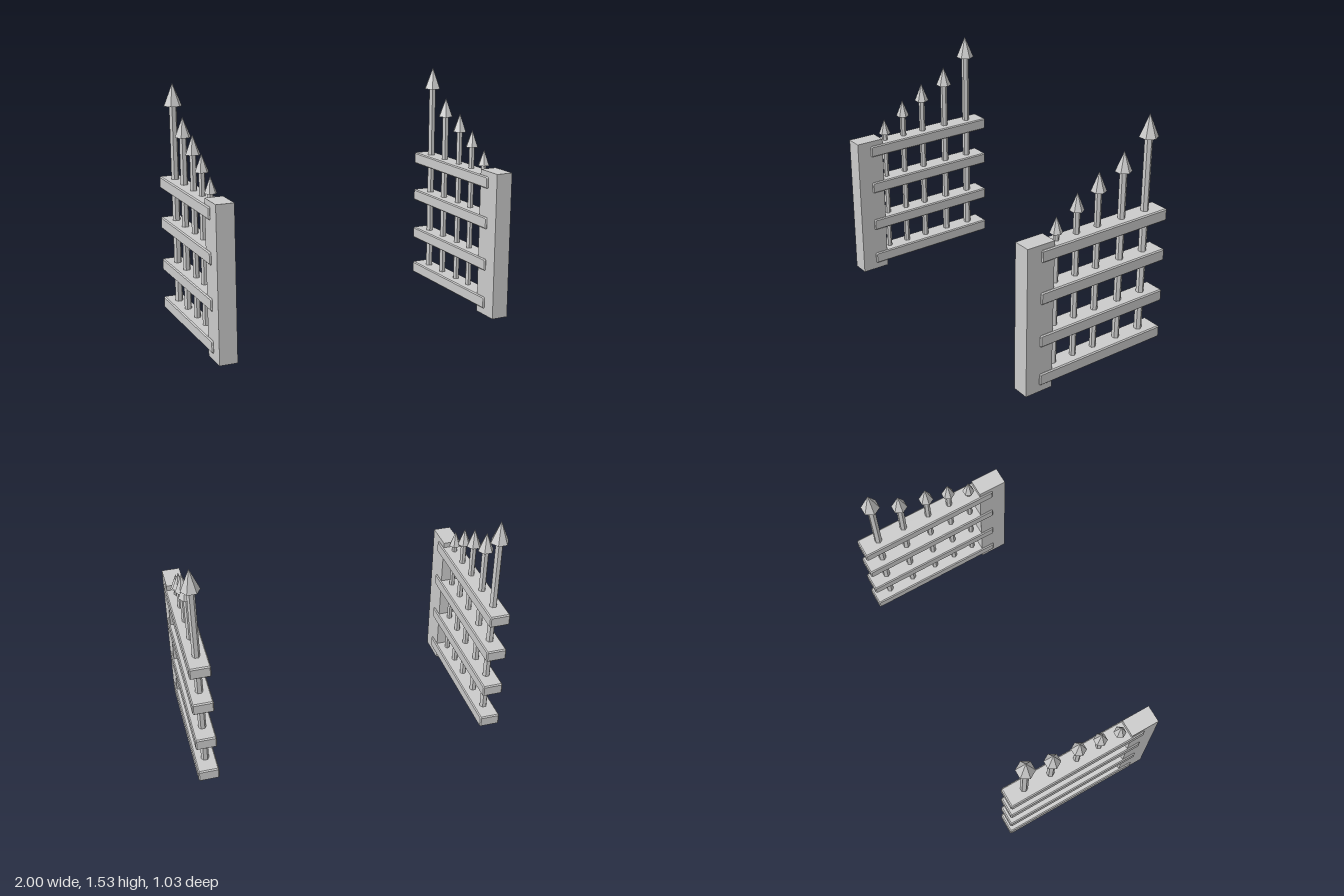
import * as THREE from 'three';

const material = new THREE.MeshStandardMaterial({ color: 0xcccccc, flatShading: true });

function addMesh(parent, name, geometry, x, y, z) {
  const mesh = new THREE.Mesh(geometry, material);
  mesh.name = name;
  mesh.position.set(x, y, z);
  parent.add(mesh);
  return mesh;
}

// Box with every edge chamfered by c, centred on the origin
function chamferedBox(w, h, d, c) {
  const a = d / 2 - c, b = h / 2 - c, k = c * 0.5;
  const shape = new THREE.Shape([
    [-a + k, -b], [a - k, -b], [a, -b + k], [a, b - k],
    [a - k, b], [-a + k, b], [-a, b - k], [-a, -b + k],
  ].map(([x, y]) => new THREE.Vector2(x, y)));
  const geometry = new THREE.ExtrudeGeometry(shape, {
    depth: w - 2 * c, bevelSize: c, bevelThickness: c, bevelSegments: 1,
  });
  return geometry.translate(0, 0, c - w / 2).rotateY(Math.PI / 2);
}

// Six-sided cone or shaft with corners pointing along x
function hexPrism(top, bottom, height) {
  return new THREE.CylinderGeometry(top, bottom, height, 6, 1, false, Math.PI / 6);
}

// [z, head base, tip, head radius, shaft radius]
const PIKES = [
  [0.275, 0.966, 1.067, 0.039, 0.018],
  [0.129, 1.063, 1.172, 0.043, 0.02],
  [-0.026, 1.14, 1.26, 0.047, 0.0205],
  [-0.208, 1.216, 1.34, 0.051, 0.023],
  [-0.39, 1.384, 1.527, 0.0585, 0.0245],
];
const RAIL_HEIGHTS = [0.081, 0.338, 0.616, 0.882];
const SHAFT_BOTTOM = 0.07;

function createGateLeaf(name, x) {
  const leaf = new THREE.Group();
  leaf.name = name;
  leaf.position.x = x;

  // Upright post at the front
  addMesh(leaf, 'post', new THREE.BoxGeometry(0.112, 0.955, 0.187), 0, 0.4775, 0.422);

  // Horizontal rails wrapping the post
  const rail = chamferedBox(0.131, 0.077, 0.932, 0.007);
  for (const y of RAIL_HEIGHTS) addMesh(leaf, 'rail', rail, 0, y, -0.046);

  // Pikes rising towards the back
  for (const [z, base, tip, headRadius, shaftRadius] of PIKES) {
    const length = base - SHAFT_BOTTOM + 0.01;
    addMesh(leaf, 'pikeShaft', hexPrism(shaftRadius, shaftRadius, length), 0, SHAFT_BOTTOM + length / 2, z);
    addMesh(leaf, 'pikeHead', hexPrism(0, headRadius, tip - base), 0, (base + tip) / 2, z);
  }
  return leaf;
}

export function createModel() {
  const group = new THREE.Group();
  group.name = 'openGate';
  group.add(createGateLeaf('leftLeaf', 0.932), createGateLeaf('rightLeaf', -0.932));
  return group;
}
